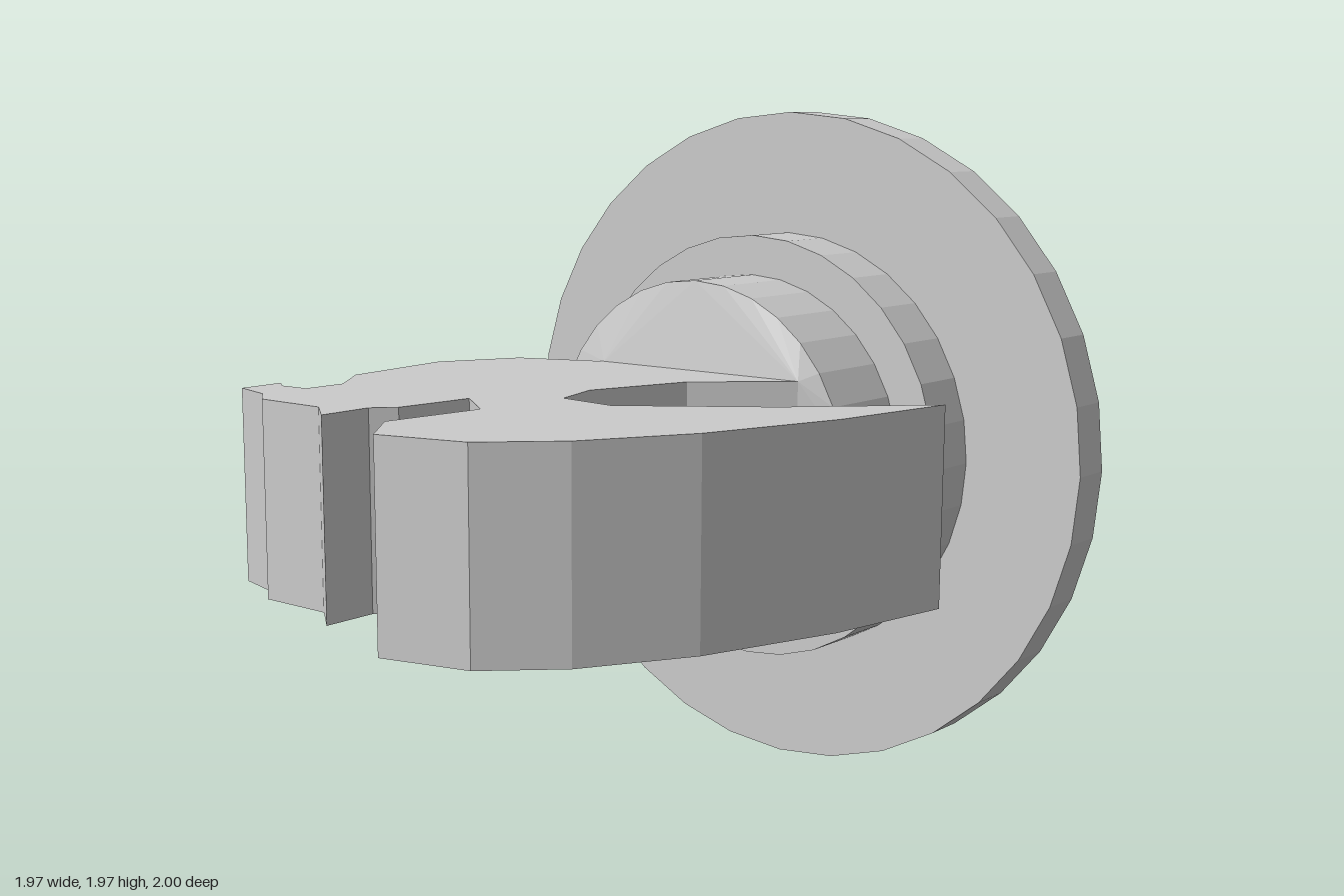
import * as THREE from 'three';
import { ConvexGeometry } from 'three/addons/geometries/ConvexGeometry.js';

const CY = 0.99; // height of the disc axis
const SIDES = 32;
const BOTTOM = 0.73, TOP = 1.255; // flat faces of the blade
const material = new THREE.MeshStandardMaterial({ color: 0xcccccc, flatShading: true });

function part(name, geometry) {
  const mesh = new THREE.Mesh(geometry, material);
  mesh.name = name;
  return mesh;
}

// disc with its axis along z, between two z positions
function disc(name, radius, back, front) {
  const g = new THREE.CylinderGeometry(radius, radius, front - back, SIDES);
  g.rotateX(Math.PI / 2);
  g.translate(0, CY, (back + front) / 2);
  return part(name, g);
}

// transition from the round collar to the rectangular root of the blade
function taper() {
  const points = [];
  for (let i = 0; i < SIDES; i++) {
    const a = (i / SIDES) * Math.PI * 2;
    points.push(new THREE.Vector3(0.515 * Math.sin(a), CY + 0.515 * Math.cos(a), -0.415));
  }
  for (const x of [-0.3, 0.39])
    for (const y of [BOTTOM, TOP]) points.push(new THREE.Vector3(x, y, -0.37));
  return part('collarTaper', new ConvexGeometry(points));
}

// flat hooked blade, outlined in x and z
function blade() {
  const outline = [
    [-0.3, -0.37], [-0.55, -0.275], [-0.665, -0.05], [-0.63, 0.31], [-0.52, 0.46],
    // small side notch and toothed tip
    [-0.525, 0.585], [-0.615, 0.59], [-0.66, 0.555], [-0.66, 0.69], [-0.535, 0.725],
    [-0.46, 0.79], [-0.245, 0.79], [-0.14, 0.875], [-0.14, 0.72], [-0.09, 0.665],
    // slot between the tip and the swept wing
    [-0.065, 0.44], [0.085, 0.555], [0.05, 0.845],
    // swept wing
    [0.17, 0.995], [0.41, 0.935], [0.575, 0.775], [0.73, 0.5], [0.855, 0.12],
    [0.92, -0.25], [0.625, 0.05], [0.29, 0.3],
    // neck
    [0.115, 0.28], [0.07, 0.125], [0.165, -0.17], [0.39, -0.37],
  ];
  const shape = new THREE.Shape(outline.map(([x, z]) => new THREE.Vector2(x, z)));
  const g = new THREE.ExtrudeGeometry(shape, { depth: TOP - BOTTOM, bevelEnabled: false });
  g.rotateX(Math.PI / 2);
  g.translate(0, TOP, 0);
  return part('hookedBlade', g);
}

export function createModel() {
  const group = new THREE.Group();
  group.name = 'hookedKnob';
  group.add(
    disc('basePlate', 0.985, -1, -0.87),
    disc('middleStep', 0.63, -0.87, -0.69),
    disc('collar', 0.515, -0.69, -0.415),
    taper(),
    blade(),
  );
  return group;
}
